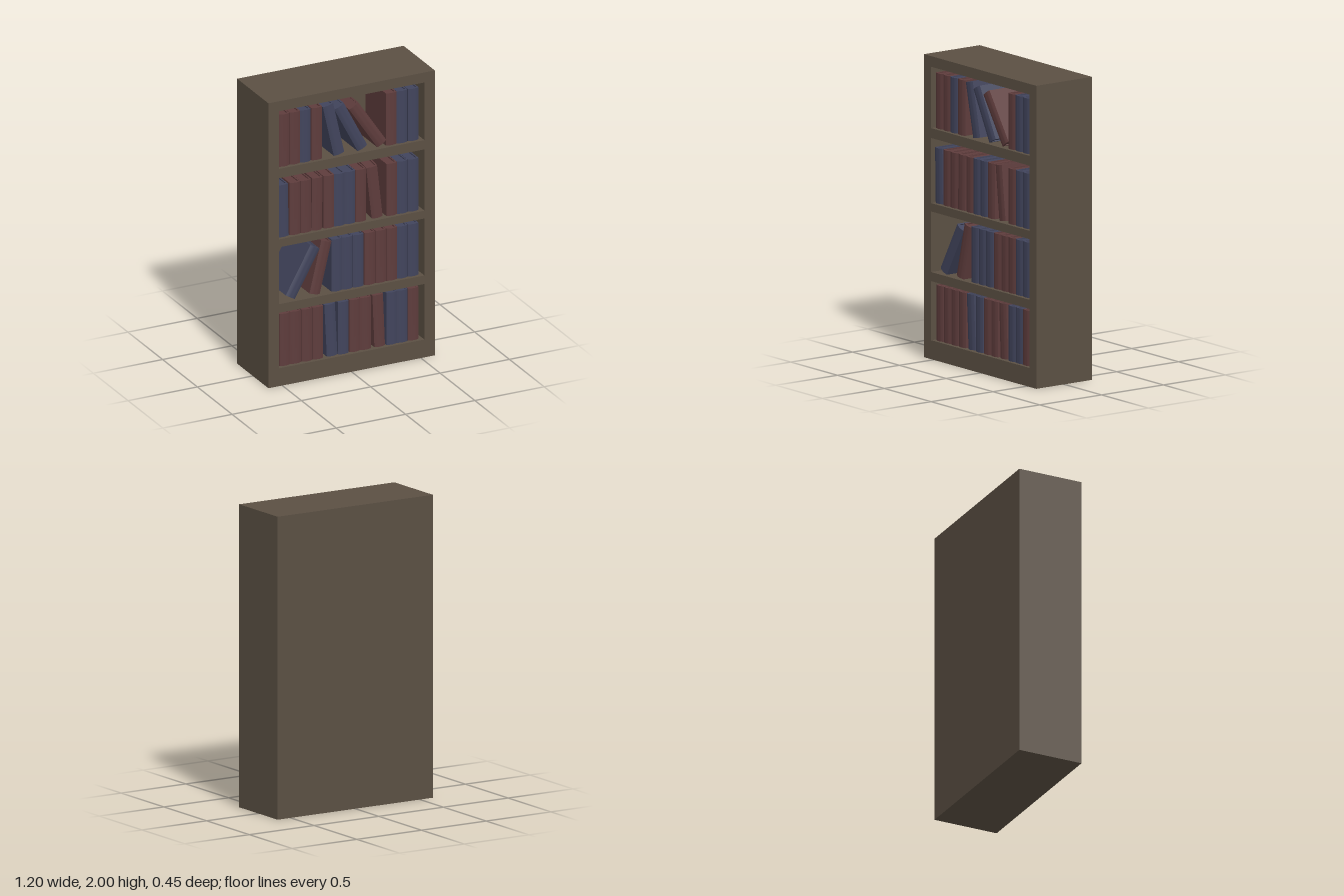
import * as THREE from 'three';
import { toCreasedNormals } from 'three/addons/utils/BufferGeometryUtils.js';

const wood = new THREE.MeshStandardMaterial({ color: 0x5b5043 });
const covers = {
  R: new THREE.MeshStandardMaterial({ color: 0x5e3c3c }),
  B: new THREE.MeshStandardMaterial({ color: 0x41445c }),
};

const W = 1.2, H = 2, D = 0.45, BACK = 0.035, INNER = 0.525;
const BOOK = { w: 0.076, h: 0.366, d: 0.3, bulge: 0.01, board: 0.01 };

// Each shelf: opening bottom, opening top, books as [colour, x, tilt, yaw]
const shelves = [
  { y0: 1.525, y1: 1.93, books: [
    ['R', -0.473], ['R', -0.395], ['B', -0.32], ['R', -0.237],
    ['B', -0.116, 0.22], ['B', 0.008, 0.48], ['R', 0.13, 0.59],
    ['R', 0.3], ['B', 0.378], ['B', 0.458]] },
  { y0: 1.03, y1: 1.46, books: [
    ['B', -0.48, 0.02], ['R', -0.394], ['R', -0.317], ['R', -0.235, -0.02], ['R', -0.15, 0, -0.03],
    ['B', -0.073], ['B', 0.003], ['R', 0.08], ['R', 0.178, 0.11, -0.09],
    ['R', 0.303], ['B', 0.38], ['B', 0.458]] },
  { y0: 0.575, y1: 0.975, books: [
    ['B', -0.338, -0.51], ['R', -0.21, -0.235],
    ['B', -0.093], ['B', -0.015], ['B', 0.063], ['R', 0.145], ['R', 0.225], ['R', 0.303],
    ['B', 0.38], ['B', 0.458]] },
  { y0: 0.125, y1: 0.515, books: [
    ['R', -0.468], ['R', -0.39], ['R', -0.31, 0, -0.025], ['R', -0.23, 0, -0.03],
    ['B', -0.135, 0.05], ['B', -0.045], ['R', 0.037], ['R', 0.115, 0, -0.03], ['R', 0.21, 0.04],
    ['B', 0.303], ['B', 0.38], ['R', 0.458]] },
];

function rect(path, x0, y0, x1, y1) {
  path.moveTo(x0, y0);
  path.lineTo(x1, y0);
  path.lineTo(x1, y1);
  path.lineTo(x0, y1);
  path.closePath();
  return path;
}

// U-shaped cover with a rounded spine, standing along y with the spine facing +z
function coverGeometry() {
  const { w, h, d, bulge, board } = BOOK, a = w / 2;
  const s = new THREE.Shape();
  s.moveTo(-a, bulge);
  s.quadraticCurveTo(0, -bulge, a, bulge);
  s.lineTo(a, d);
  s.lineTo(a - board, d);
  s.lineTo(a - board, bulge + board);
  s.lineTo(-a + board, bulge + board);
  s.lineTo(-a + board, d);
  s.lineTo(-a, d);
  s.closePath();
  const g = new THREE.ExtrudeGeometry(s, { depth: h, bevelEnabled: false, curveSegments: 8 });
  g.rotateX(-Math.PI / 2).translate(0, -h / 2, 0);
  return toCreasedNormals(g, 0.4);
}

function pagesGeometry() {
  const { w, h, d, bulge, board } = BOOK;
  const len = d - bulge - board - 0.008;
  return new THREE.BoxGeometry(w - 2 * board, h - 0.016, len)
    .translate(0, 0, -(bulge + board + len / 2));
}

export function createModel() {
  const model = new THREE.Group();
  model.name = 'bookcase';

  // Case front, sides and shelves: one slab with four openings
  const outline = rect(new THREE.Shape(), -W / 2, 0, W / 2, H);
  for (const { y0, y1 } of shelves) outline.holes.push(rect(new THREE.Path(), -INNER, y0, INNER, y1));
  const frame = new THREE.Mesh(
    new THREE.ExtrudeGeometry(outline, { depth: D - BACK, bevelEnabled: false }), wood);
  frame.name = 'caseFrame';
  frame.position.z = -D / 2 + BACK;
  model.add(frame);

  const back = new THREE.Mesh(new THREE.BoxGeometry(W, H, BACK), wood);
  back.name = 'backPanel';
  back.position.set(0, H / 2, -D / 2 + BACK / 2);
  model.add(back);

  // Books, resting on their lowest corner when they lean
  const coverGeo = coverGeometry(), pagesGeo = pagesGeometry();
  shelves.forEach(({ y0, books }, row) => {
    const shelf = new THREE.Group();
    shelf.name = `bookRow${row + 1}`;
    for (const [colour, x, tilt = 0, yaw = 0] of books) {
      const book = new THREE.Group();
      book.name = 'book';
      const cover = new THREE.Mesh(coverGeo, covers[colour]);
      cover.name = 'cover';
      const pages = new THREE.Mesh(pagesGeo, covers[colour]);
      pages.name = 'pages';
      book.add(cover, pages);
      book.rotation.set(0, yaw, tilt, 'ZYX');
      const rise = (BOOK.h * Math.cos(tilt) + BOOK.w * Math.abs(Math.sin(tilt))) / 2;
      book.position.set(x, y0 + rise + 0.001, 0.205);
      shelf.add(book);
    }
    model.add(shelf);
  });
  return model;
}
